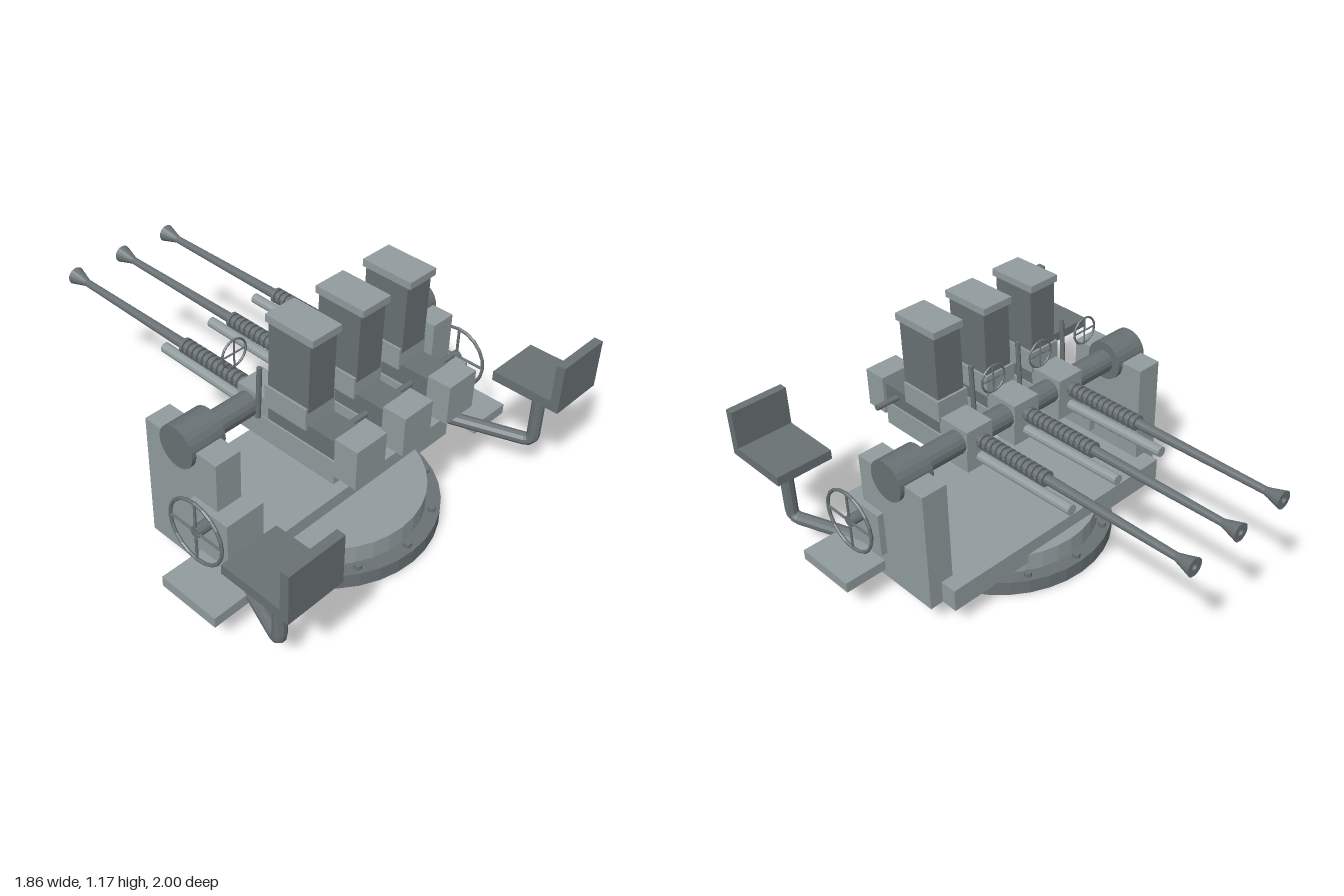
import * as THREE from 'three';

const light = new THREE.MeshStandardMaterial({ color: 0x929c9e, flatShading: true });
const dark = new THREE.MeshStandardMaterial({ color: 0x697174, flatShading: true });

function add(parent, name, geometry, material) {
  const mesh = new THREE.Mesh(geometry, material);
  mesh.name = name;
  parent.add(mesh);
  return mesh;
}

// Box given by its minimum and maximum along each axis
function box(parent, name, material, [x0, x1], [y0, y1], [z0, z1]) {
  const mesh = add(parent, name, new THREE.BoxGeometry(x1 - x0, y1 - y0, z1 - z0), material);
  mesh.position.set((x0 + x1) / 2, (y0 + y1) / 2, (z0 + z1) / 2);
  return mesh;
}

// Cylinder from point a (radius ra) to point b (radius rb)
function rod(parent, name, material, a, b, ra, rb = ra, sides = 12) {
  const from = new THREE.Vector3(...a), to = new THREE.Vector3(...b);
  const dir = to.clone().sub(from);
  const mesh = add(parent, name, new THREE.CylinderGeometry(rb, ra, dir.length(), sides), material);
  mesh.position.copy(from).add(to).multiplyScalar(0.5);
  mesh.quaternion.setFromUnitVectors(new THREE.Vector3(0, 1, 0), dir.normalize());
  return mesh;
}

// Spoked wheel in the xy plane
function wheel(name, radius, tube, segments) {
  const group = new THREE.Group();
  group.name = name;
  add(group, 'rim', new THREE.TorusGeometry(radius, tube, 6, segments), dark);
  rod(group, 'spoke', dark, [-radius, 0, 0], [radius, 0, 0], tube * 0.8, tube * 0.8, 6);
  rod(group, 'spoke', dark, [0, -radius, 0], [0, radius, 0], tube * 0.8, tube * 0.8, 6);
  return group;
}

function createBase() {
  const base = new THREE.Group();
  base.name = 'base';
  const cz = 0.31;
  rod(base, 'baseFlange', dark, [0, 0, cz], [0, 0.07, cz], 0.51, 0.51, 36);
  rod(base, 'turntable', light, [0, 0.07, cz], [0, 0.16, cz], 0.445, 0.445, 36);
  for (let i = 0; i < 12; i++) {
    const a = (i * Math.PI) / 6, x = 0.475 * Math.sin(a), z = cz + 0.475 * Math.cos(a);
    rod(base, 'flangeBolt', dark, [x, 0.07, z], [x, 0.09, z], 0.018, 0.018, 8);
  }
  box(base, 'platform', light, [-0.635, 0.635], [0.115, 0.225], [-0.08, 0.48]);
  return base;
}

// Pedestal, drive box, handwheel, footboard and seat of one side
function createSide() {
  const side = new THREE.Group();
  side.name = 'sideStation';
  box(side, 'pedestal', light, [0.575, 0.7], [0.115, 0.705], [0, 0.4]);
  rod(side, 'trunnionDrum', dark, [0.55, 0.69, 0.2], [0.72, 0.69, 0.2], 0.094, 0.094, 24);
  box(side, 'gearBox', light, [0.54, 0.73], [0.26, 0.475], [0.27, 0.485]);
  rod(side, 'wheelShaft', dark, [0.72, 0.425, 0.38], [0.8, 0.425, 0.38], 0.026);
  const hand = wheel('handWheel', 0.146, 0.008, 20);
  hand.rotation.y = Math.PI / 2;
  hand.position.set(0.795, 0.425, 0.38);
  side.add(hand);
  box(side, 'footBoard', light, [0.69, 0.905], [0.15, 0.2], [0.295, 0.595]);

  // Bent tube that carries the seat
  const path = new THREE.CurvePath();
  const points = [[0.635, 0.19, 0.39], [0.782, 0.19, 0.79], [0.797, 0.19, 0.83], [0.797, 0.23, 0.83], [0.797, 0.525, 0.83]]
    .map((p) => new THREE.Vector3(...p));
  path.add(new THREE.LineCurve3(points[0], points[1]));
  path.add(new THREE.QuadraticBezierCurve3(points[1], points[2], points[3]));
  path.add(new THREE.LineCurve3(points[3], points[4]));
  add(side, 'seatTube', new THREE.TubeGeometry(path, 40, 0.03, 10), dark);
  box(side, 'tubeBracket', light, [0.6, 0.68], [0.125, 0.25], [0.38, 0.43]);
  box(side, 'seat', dark, [0.655, 0.93], [0.52, 0.565], [0.67, 1]);
  box(side, 'seatBack', dark, [0.655, 0.93], [0.565, 0.75], [0.96, 1]);
  return side;
}

function createGun() {
  const gun = new THREE.Group();
  gun.name = 'gun';
  // Receiver
  box(gun, 'lowerReceiver', light, [-0.075, 0.075], [0.56, 0.67], [0.14, 0.665]);
  box(gun, 'upperReceiver', dark, [-0.067, 0.067], [0.66, 0.76], [0.3, 0.675]);
  box(gun, 'frontReceiver', light, [-0.07, 0.07], [0.66, 0.76], [0.14, 0.31]);
  box(gun, 'breechBlock', light, [-0.082, 0.082], [0.61, 0.79], [0.67, 0.78]);
  rod(gun, 'cockingHandle', dark, [0, 0.72, 0.595], [0.18, 0.72, 0.595], 0.013);
  // Magazine
  box(gun, 'magazineHousing', light, [-0.08, 0.08], [0.74, 0.84], [0.3, 0.52]);
  const magazine = box(gun, 'magazine', dark, [-0.07, 0.07], [0.82, 1.14], [0.313, 0.525]);
  const cap = box(gun, 'magazineCap', light, [-0.077, 0.077], [1.133, 1.165], [0.302, 0.544]);
  magazine.rotation.x = cap.rotation.x = 0.014;
  // Barrel, slightly raised toward the muzzle
  const at = (z) => [0, 0.7 - 0.012 * z, z];
  rod(gun, 'barrelSleeve', dark, at(0.15), at(-0.25), 0.025);
  rod(gun, 'barrel', dark, at(-0.25), at(-0.93), 0.023, 0.017);
  const flare = new THREE.LatheGeometry([[0.017, 0], [0.022, 0.02], [0.041, 0.085], [0.014, 0.085], [0.012, 0.03], [0, 0.03]]
    .map((p) => new THREE.Vector2(...p)), 16);
  const muzzle = add(gun, 'flashHider', flare, dark);
  muzzle.rotation.x = -Math.PI / 2 + 0.012;
  muzzle.position.set(...at(-0.915));
  for (let i = 0; i < 13; i++) {
    const z = 0.12 - i * 0.03;
    rod(gun, 'springCoil', dark, at(z), at(z - 0.014), 0.036);
  }
  rod(gun, 'recoilTube', light, [0, 0.61, 0.15], [0, 0.623, -0.39], 0.024);
  // Sights
  rod(gun, 'rearSightPost', dark, [-0.105, 0.69, 0.29], [-0.105, 0.935, 0.3], 0.011, 0.011, 8);
  const ring = wheel('ringSight', 0.062, 0.005, 20);
  ring.position.set(-0.108, 0.935, 0.165);
  gun.add(ring);
  return gun;
}

export function createModel() {
  const model = new THREE.Group();
  model.name = 'tripleGunMount';
  model.add(createBase());

  const left = createSide();
  left.name = 'leftStation';
  const right = createSide();
  right.name = 'rightStation';
  right.scale.x = -1;
  model.add(left, right);

  rod(model, 'trunnionBar', dark, [-0.57, 0.69, 0.2], [0.57, 0.69, 0.2], 0.054, 0.054, 16);
  for (const x of [-0.27, 0, 0.27]) {
    const gun = createGun();
    gun.position.x = x;
    model.add(gun);
  }
  return model;
}
